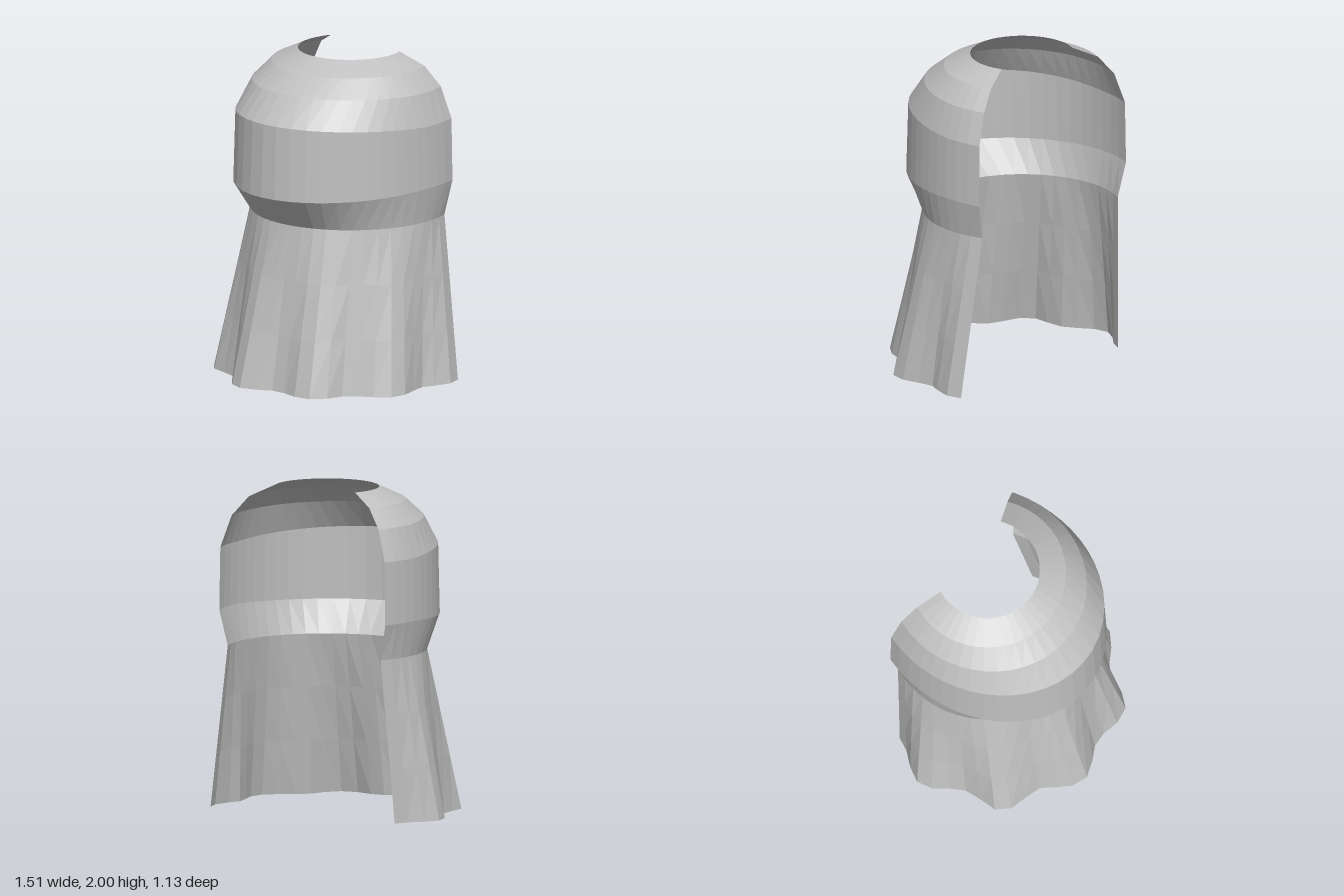
import * as THREE from 'three';

const SEGMENTS = 30;
const OPENING = THREE.MathUtils.degToRad(24); // how far each end wraps past the sides
const CX = 0.016, CZ = -0.3;                  // axis of the hood

// Elliptical arc, from the +x back end round the front to the -x back end
function arc(ySide, yFront, a, b) {
  const points = [];
  for (let i = 0; i <= SEGMENTS; i++) {
    const t = -OPENING + (Math.PI + 2 * OPENING) * i / SEGMENTS;
    const c = Math.cos(t), s = Math.sin(t);
    const r = 1 / Math.hypot(c / a, s / b);
    const lift = Math.max(0, s);
    points.push(new THREE.Vector3(CX + r * c, ySide + (yFront - ySide) * lift, CZ + r * s));
  }
  return points;
}

// Sheet lofted through arcs listed from bottom to top
function sheet(name, rings, material) {
  const position = rings.flat().flatMap((p) => [p.x, p.y, p.z]);
  const index = [], n = SEGMENTS + 1;
  for (let r = 0; r < rings.length - 1; r++) {
    for (let i = 0; i < SEGMENTS; i++) {
      const a = r * n + i, b = a + 1, c = a + n, d = c + 1;
      index.push(a, c, b, b, c, d);
    }
  }
  const geometry = new THREE.BufferGeometry();
  geometry.setAttribute('position', new THREE.Float32BufferAttribute(position, 3));
  geometry.setIndex(index);
  geometry.computeVertexNormals();
  const mesh = new THREE.Mesh(geometry, material);
  mesh.name = name;
  return mesh;
}

// Wavy hem outline (x, z)
const HEM = [
  [0.72, -0.515], [0.75, -0.42], [0.723, -0.303], [0.695, -0.23], [0.719, -0.13],
  [0.751, -0.024], [0.735, 0.077], [0.659, 0.15], [0.57, 0.206], [0.509, 0.275],
  [0.477, 0.376], [0.412, 0.461], [0.307, 0.481], [0.198, 0.461], [0.105, 0.469],
  [0.02, 0.517], [-0.085, 0.558], [-0.182, 0.525], [-0.246, 0.461], [-0.319, 0.38],
  [-0.42, 0.352], [-0.529, 0.327], [-0.598, 0.255], [-0.602, 0.15], [-0.614, 0.04],
  [-0.663, -0.04], [-0.731, -0.129], [-0.755, -0.226], [-0.707, -0.319],
  [-0.638, -0.404], [-0.602, -0.485],
];

export function createModel() {
  const cloth = new THREE.MeshStandardMaterial({ color: 0xc0c0c0, flatShading: true, side: THREE.DoubleSide });
  cloth.name = 'grey cloth';

  const crownRim = arc(2, 2, 0.318, 0.32);
  const crownUpper = arc(1.925, 1.925, 0.48, 0.48);
  const crownLower = arc(1.805, 1.82, 0.58, 0.62);
  const browTop = arc(1.61, 1.652, 0.64, 0.755);
  const browBottom = arc(1.225, 1.197, 0.645, 0.775);
  const neck = arc(1.005, 1.005, 0.61, 0.61);

  // Folds fade out from the hem up to the neck
  const hem = HEM.map(([x, z]) => new THREE.Vector3(x, 0, z));
  const skirt = [0, 1 / 3, 2 / 3, 1].map((t) => hem.map((p, i) => p.clone().lerp(neck[i], t)));

  const group = new THREE.Group();
  group.name = 'hood';
  group.add(
    sheet('crown', [browTop, crownLower, crownUpper, crownRim], cloth),
    sheet('browBand', [browBottom, browTop], cloth),
    sheet('neckTaper', [neck, browBottom], cloth),
    sheet('pleatedSkirt', skirt, cloth),
  );
  return group;
}
